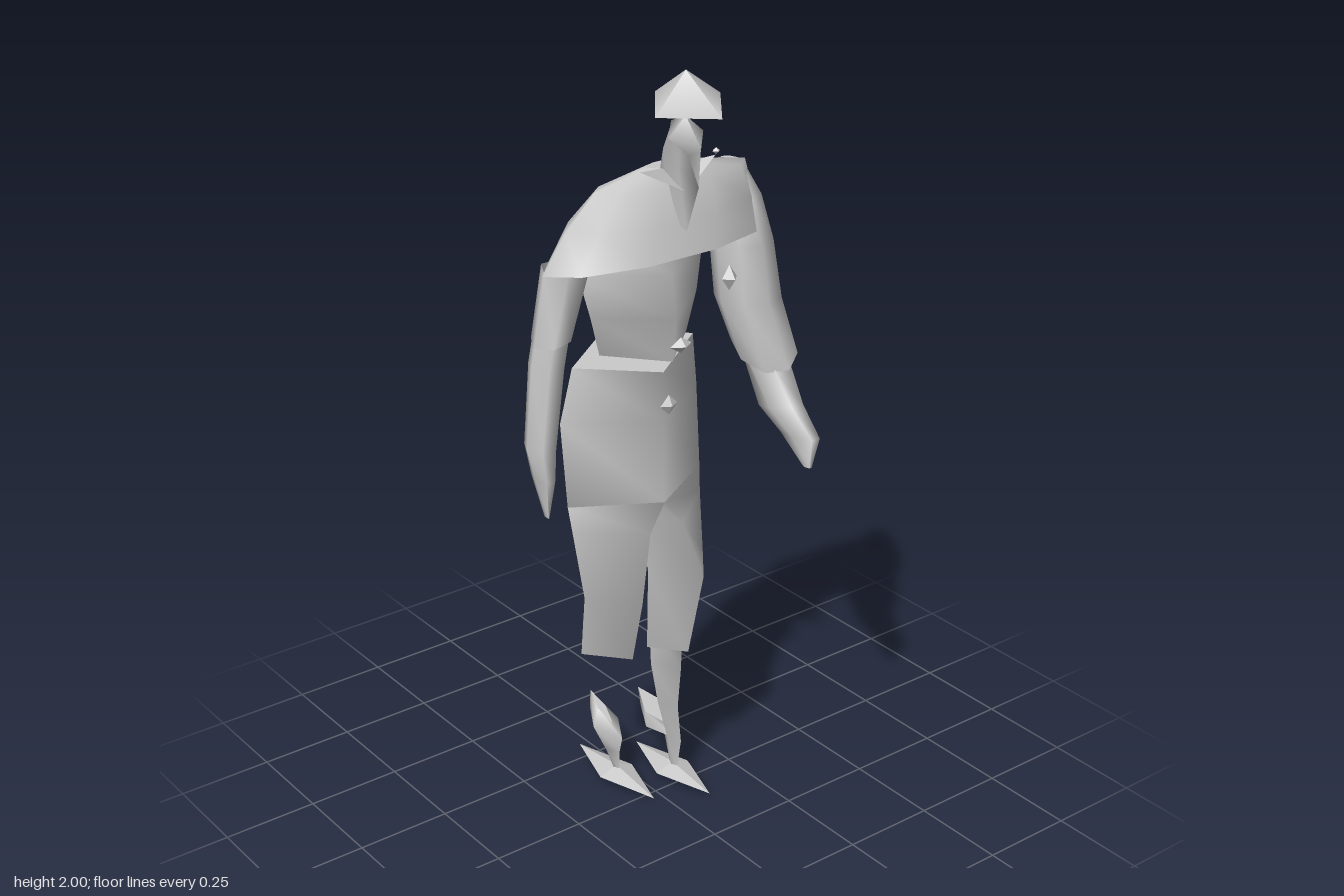
import * as THREE from 'three';

const cloth = new THREE.MeshStandardMaterial({ color: 0xc8c8c8, side: THREE.DoubleSide });
cloth.name = 'plain grey';

// Cross-sections, top to bottom: [y, x0, x1, z0, z1, y slope along x, y slope along z, x shift of front and back]
// Four sides give a diamond section.
function loft(rings, sides = 8, capTop = false, capBottom = false) {
  const pos = [], index = [];
  const point = ([y, x0, x1, z0, z1, sx = 0, sz = 0, shift = 0], i) => {
    const a = (i / sides) * Math.PI * 2, c = Math.cos(a), s = Math.sin(a);
    return [
      (x0 + x1) / 2 + c * (x1 - x0) / 2 + Math.abs(s) * shift,
      y + sx * c + sz * s,
      (z0 + z1) / 2 + s * (z1 - z0) / 2,
    ];
  };
  rings.forEach((r) => { for (let i = 0; i < sides; i++) pos.push(...point(r, i)); });
  for (let j = 0; j < rings.length - 1; j++) {
    for (let i = 0; i < sides; i++) {
      const a = j * sides + i, b = j * sides + (i + 1) % sides;
      index.push(a, b, a + sides, b, b + sides, a + sides);
    }
  }
  // Flat lids with their own vertices keep a sharp rim
  const cap = (r, top) => {
    const base = pos.length / 3;
    for (let i = 0; i < sides; i++) pos.push(...point(r, i));
    for (let i = 1; i < sides - 1; i++) {
      index.push(base, ...(top ? [base + i + 1, base + i] : [base + i, base + i + 1]));
    }
  };
  if (capTop) cap(rings[0], true);
  if (capBottom) cap(rings[rings.length - 1], false);
  const g = new THREE.BufferGeometry();
  g.setAttribute('position', new THREE.Float32BufferAttribute(pos, 3));
  g.setIndex(index);
  g.computeVertexNormals();
  return g;
}

export function createModel() {
  const model = new THREE.Group();
  model.name = 'figure';
  const add = (name, geometry) => {
    const m = new THREE.Mesh(geometry, cloth);
    m.name = name;
    model.add(m);
    return m;
  };
  const gem = (name, x, y, z, rx, ry, rz) => {
    const m = add(name, new THREE.OctahedronGeometry(1));
    m.position.set(x, y, z);
    m.scale.set(rx, ry, rz);
  };

  // Cap: shallow four-sided pyramid
  add('cap', loft([
    [2.0, -0.042, -0.042, 0.165, 0.165],
    [1.92, -0.132, 0.052, 0.05, 0.292, 0.013, -0.004],
  ], 4, false, true));

  // Head and the thin neck leaning forward
  add('head', loft([
    [1.89, -0.03, -0.03, 0.15, 0.15],
    [1.843, -0.075, 0.025, 0.09, 0.2, 0, -0.02],
    [1.795, -0.03, -0.03, 0.165, 0.165],
  ], 4));
  add('neck', loft([
    [1.84, -0.035, -0.01, 0.09, 0.196, 0, -0.02],
    [1.75, -0.012, 0.002, 0.035, 0.168, 0, -0.03],
    [1.62, -0.006, 0.004, 0.0, 0.12, 0, -0.02],
  ], 4, true));
  gem('nose', -0.02, 1.83, 0.247, 0.01, 0.008, 0.01);

  // Pointed collar: two thin flaps
  for (const side of [-1, 1]) {
    const flap = new THREE.BufferGeometry();
    flap.setAttribute('position', new THREE.Float32BufferAttribute(
      [0, 1.73, 0.03, 0.11 * side, 1.755, 0.085, 0, 1.695, 0.12], 3));
    flap.setIndex(side > 0 ? [0, 2, 1] : [0, 1, 2]);
    flap.computeVertexNormals();
    add('collarFlap', flap);
  }

  // Shoulder cape, open below
  add('cape', loft([
    [1.73, -0.03, 0.08, -0.02, 0.025],
    [1.695, -0.18, 0.27, -0.065, 0.065],
    [1.615, -0.255, 0.30, -0.113, 0.1],
    [1.53, -0.33, 0.31, -0.112, 0.125, 0, 0.008],
  ], 10, true));

  // Torso
  add('torso', loft([
    [1.56, -0.14, 0.14, -0.14, 0.05],
    [1.48, -0.19, 0.18, -0.168, 0.07],
    [1.37, -0.16, 0.16, -0.168, 0.08],
    [1.27, -0.135, 0.13, -0.16, 0.07, 0, -0.012],
  ], 4, false, true));

  // Buttons
  gem('upperButton', 0.087, 1.482, 0.17, 0.022, 0.032, 0.022);
  gem('middleButton', 0.003, 1.308, 0.095, 0.032, 0.02, 0.02);
  gem('lowerButton', 0.006, 1.135, 0.045, 0.026, 0.026, 0.015);

  // Trousers: hips that divide into two short legs
  add('hips', loft([
    [1.237, -0.188, 0.182, -0.205, 0.035, 0, -0.018],
    [1.09, -0.213, 0.209, -0.243, 0.037],
    [0.87, -0.208, 0.206, -0.205, 0.037],
  ], 4, true));
  add('leftTrouserLeg', loft([
    [0.87, 0.0, 0.206, -0.205, 0.037, 0, 0, -0.103],
    [0.8, 0.003, 0.201, -0.195, 0.045, 0, 0, -0.05],
    [0.64, 0.014, 0.192, -0.165, 0.066],
    [0.405, 0.02, 0.17, -0.14, 0.015, 0, -0.005],
  ], 4));
  add('rightTrouserLeg', loft([
    [0.87, -0.208, 0.0, -0.205, 0.037, 0, 0, 0.104],
    [0.8, -0.201, 0.0, -0.195, 0.045, 0, 0, 0.05],
    [0.62, -0.182, 0.008, -0.17, 0.06],
    [0.44, -0.157, 0.01, -0.215, 0.0, 0.014, -0.01],
  ], 4));

  // Bare left shin and the right ankle
  add('leftShin', loft([
    [0.46, 0.035, 0.155, -0.135, -0.01],
    [0.34, 0.043, 0.143, -0.14, -0.012],
    [0.22, 0.058, 0.12, -0.11, -0.02],
    [0.12, 0.072, 0.105, -0.08, -0.005],
    [0.03, 0.08, 0.095, -0.05, -0.02],
  ], 4));
  add('rightAnkle', loft([
    [0.19, -0.055, -0.03, -0.23, -0.13, 0, -0.028],
    [0.15, -0.082, -0.002, -0.235, -0.09, 0, -0.015],
    [0.09, -0.065, -0.022, -0.16, -0.1],
    [0.03, -0.05, -0.038, -0.13, -0.1],
  ], 4, true));
  add('leftSpat', loft([
    [0.175, 0.05, 0.122, -0.19, -0.03, 0, -0.025],
    [0.135, 0.045, 0.128, -0.18, -0.02, 0, -0.015],
  ], 4, true, true));

  // Flat diamond shoes
  gem('leftShoe', 0.087, 0.022, -0.04, 0.052, 0.018, 0.16);
  gem('rightShoe', -0.043, 0.022, -0.117, 0.052, 0.02, 0.167);

  // Right arm hangs straight
  add('rightSleeve', loft([
    [1.53, -0.312, -0.195, -0.075, 0.05],
    [1.36, -0.343, -0.248, -0.07, 0.04, 0.01],
  ], 6));
  add('rightArm', loft([
    [1.46, -0.318, -0.235, -0.065, 0.035],
    [1.30, -0.352, -0.268, -0.065, 0.035],
    [1.10, -0.374, -0.298, -0.055, 0.035],
    [1.02, -0.358, -0.31, -0.04, 0.035],
    [0.92, -0.337, -0.333, 0.0, 0.02],
  ], 6));

  // Left arm bends forward at the elbow
  add('leftSleeve', loft([
    [1.685, 0.23, 0.28, -0.07, 0.0],
    [1.61, 0.19, 0.31, -0.09, 0.06],
    [1.50, 0.18, 0.332, -0.075, 0.09],
    [1.35, 0.185, 0.352, -0.062, 0.105],
    [1.22, 0.225, 0.37, -0.045, 0.15, 0.02, -0.035],
  ], 8, true));
  add('leftForearm', loft([
    [1.27, 0.22, 0.35, -0.04, 0.1],
    [1.19, 0.24, 0.345, 0.0, 0.14],
    [1.09, 0.252, 0.325, 0.06, 0.205, 0, 0.02],
    [1.04, 0.255, 0.305, 0.15, 0.285, 0, 0.01],
    [0.975, 0.26, 0.275, 0.245, 0.275],
  ], 6, false, true));

  return model;
}
